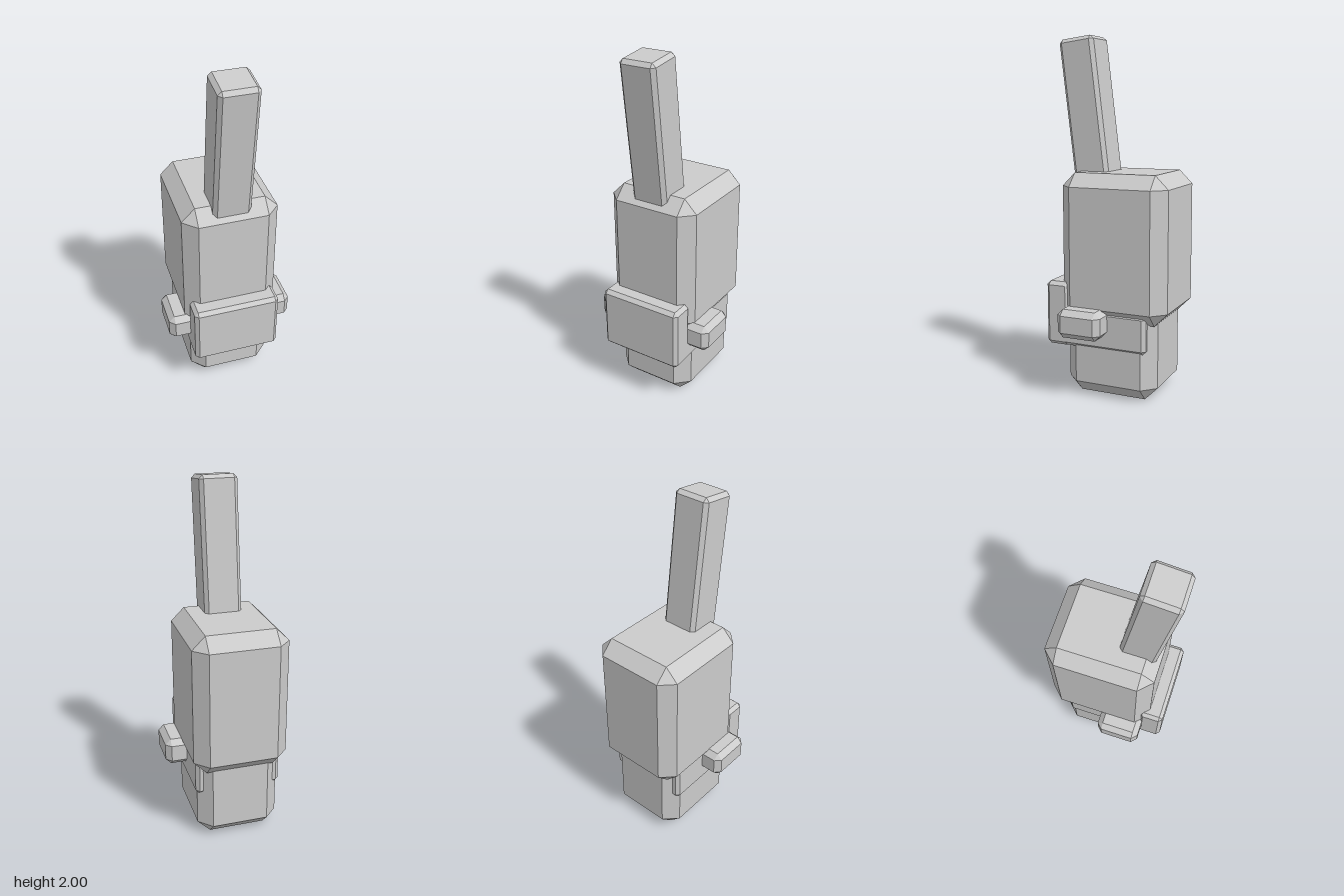
import * as THREE from 'three';
import { ConvexGeometry } from 'three/addons/geometries/ConvexGeometry.js';

const material = new THREE.MeshStandardMaterial({ color: 0xcccccc, flatShading: true });

// Box with every edge cut by a flat bevel c, given by its min and max corners
function bevelBox(name, min, max, c) {
  const half = max.map((v, i) => (v - min[i]) / 2);
  const points = [];
  for (const sx of [-1, 1]) for (const sy of [-1, 1]) for (const sz of [-1, 1]) {
    for (let axis = 0; axis < 3; axis++) {
      // the corner of the face perpendicular to this axis
      const p = [sx, sy, sz].map((s, i) => s * (half[i] - (i === axis ? 0 : c)));
      points.push(new THREE.Vector3(...p));
    }
  }
  const mesh = new THREE.Mesh(new ConvexGeometry(points), material);
  mesh.name = name;
  mesh.position.set(...max.map((v, i) => (v + min[i]) / 2));
  return mesh;
}

export function createModel() {
  const model = new THREE.Group();
  model.name = 'handset';

  // Main body and the narrower base below it
  model.add(bevelBox('upperBody', [-0.27, 0.435, -0.356], [0.27, 1.255, 0.268], 0.075));
  model.add(bevelBox('base', [-0.237, 0, -0.29], [0.237, 0.7, 0.249], 0.075));

  // Raised front panel with a band wrapping back along the sides
  model.add(bevelBox('frontPanel', [-0.248, 0.275, 0.215], [0.248, 0.64, 0.356], 0.021));
  model.add(bevelBox('sideBand', [-0.247, 0.277, -0.245], [0.247, 0.495, 0.34], 0.02));

  // Side knobs, mirrored
  for (const s of [-1, 1]) {
    const x = [s * 0.1, s * 0.367].sort((a, b) => a - b);
    model.add(bevelBox(s > 0 ? 'leftKnob' : 'rightKnob', [x[0], 0.355, -0.022], [x[1], 0.515, 0.235], 0.032));
  }

  // Antenna leaning forward, pivoted at the centre of its tip
  const antenna = new THREE.Group();
  antenna.name = 'antenna';
  antenna.add(bevelBox('antennaRod', [-0.107, -0.95, -0.105], [0.107, 0, 0.105], 0.021));
  antenna.position.set(0, 1.99, 0.234);
  antenna.rotation.x = THREE.MathUtils.degToRad(7);
  model.add(antenna);

  return model;
}
